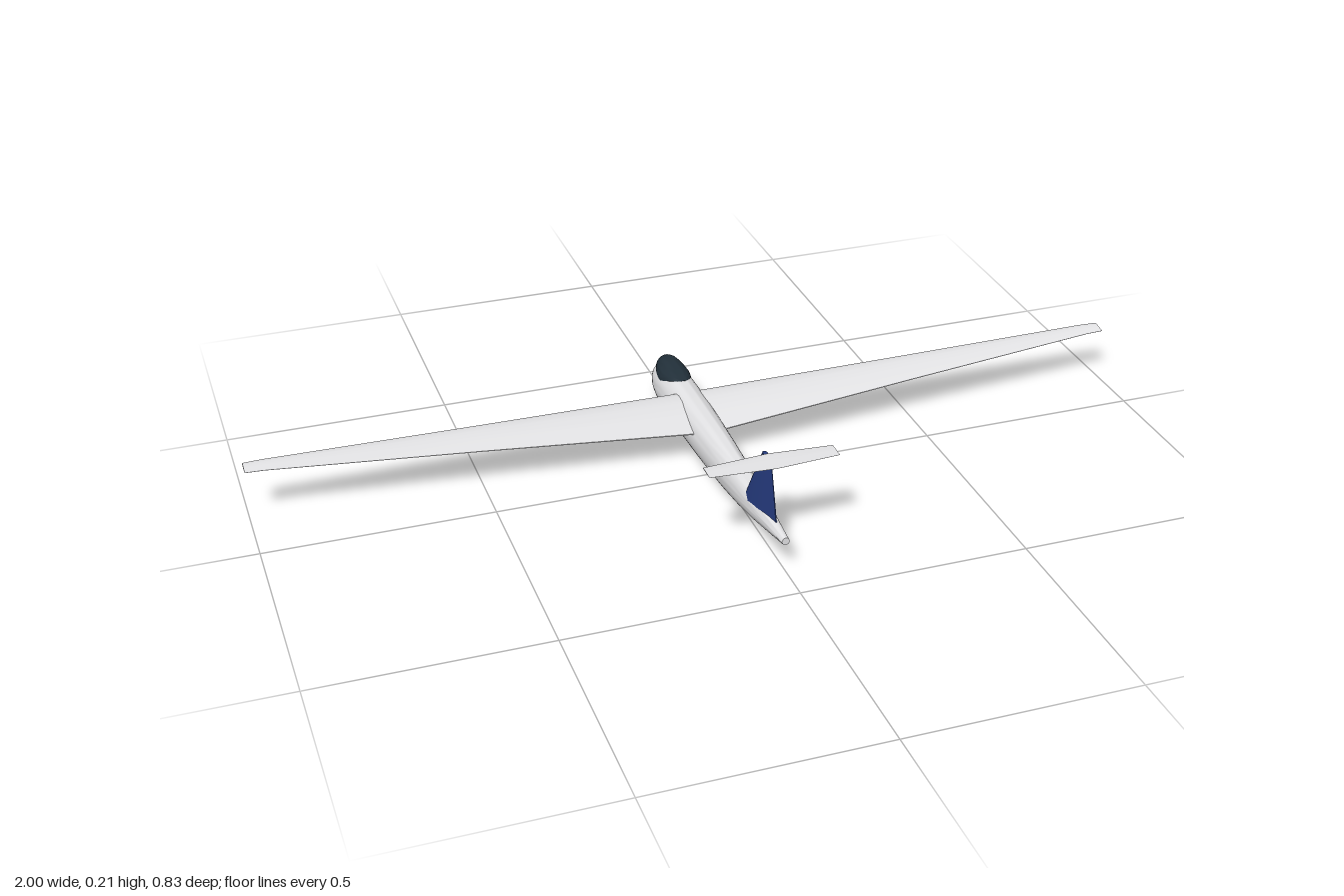
import * as THREE from 'three';
import { toCreasedNormals } from 'three/addons/utils/BufferGeometryUtils.js';

const material = (name, color) => {
  const m = new THREE.MeshStandardMaterial({ color });
  m.name = name;
  return m;
};

// Closed solid skinned over rings of [x, y, z] points, capped at both ends
function loft(rings, crease = 0.6) {
  const n = rings[0].length, last = rings.length - 1;
  const pos = rings.flat(2), index = [];
  for (let i = 0; i < last; i++) {
    for (let j = 0; j < n; j++) {
      const a = i * n + j, b = i * n + (j + 1) % n;
      index.push(a, b, a + n, b, b + n, a + n);
    }
  }
  for (const end of [0, last]) {
    const centre = pos.length / 3;
    pos.push(...[0, 1, 2].map(k => rings[end].reduce((s, p) => s + p[k], 0) / n));
    for (let j = 0; j < n; j++) {
      const a = end * n + j, b = end * n + (j + 1) % n;
      if (end === 0) index.push(centre, b, a);
      else index.push(centre, a, b);
    }
  }
  // Turn the solid outward if its signed volume is negative
  const v = i => new THREE.Vector3().fromArray(pos, i * 3);
  let volume = 0;
  for (let i = 0; i < index.length; i += 3) {
    volume += v(index[i]).dot(v(index[i + 1]).cross(v(index[i + 2])));
  }
  if (volume < 0) index.reverse();
  const g = new THREE.BufferGeometry();
  g.setAttribute('position', new THREE.Float32BufferAttribute(pos, 3));
  g.setIndex(index);
  return toCreasedNormals(g, crease);
}

// Fuselage stations: z, bottom, top, half width
const BODY = [
  [-0.415, 0.047, 0.053, 0.003], [-0.412, 0.038, 0.063, 0.011], [-0.407, 0.031, 0.07, 0.018],
  [-0.4, 0.025, 0.077, 0.023], [-0.39, 0.0185, 0.083, 0.0285], [-0.375, 0.0115, 0.0905, 0.034],
  [-0.355, 0.0055, 0.097, 0.0385], [-0.33, 0.002, 0.102, 0.0415], [-0.3, 0.0005, 0.105, 0.043],
  [-0.24, 0, 0.107, 0.0435], [-0.14, 0, 0.107, 0.0425], [-0.05, 0.0005, 0.107, 0.0395],
  [0.02, 0.0025, 0.1065, 0.0365], [0.1, 0.0075, 0.1035, 0.0325], [0.18, 0.016, 0.098, 0.0275],
  [0.26, 0.029, 0.0915, 0.0215], [0.34, 0.0455, 0.085, 0.0145], [0.415, 0.062, 0.079, 0.008],
];

// Half width of the fuselage at a given z and height
function bodyWidth(z, y) {
  const i = BODY.findIndex(s => s[0] >= z);
  const a = BODY[i - 1], b = BODY[i], t = (z - a[0]) / (b[0] - a[0]);
  const [lo, hi, w] = [1, 2, 3].map(k => a[k] + (b[k] - a[k]) * t);
  const h = (y - (lo + hi) / 2) / ((hi - lo) / 2);
  return w * Math.sqrt(Math.max(0, 1 - h * h));
}

function fuselageGeometry() {
  const sides = 40;
  return loft(BODY.map(([z, lo, hi, w]) => Array.from({ length: sides }, (_, j) => {
    const a = j / sides * Math.PI * 2;
    return [w * Math.cos(a), (lo + hi) / 2 + (hi - lo) / 2 * Math.sin(a), z];
  })), 0.9);
}

// Canopy stations: z, sill height, top
function canopyGeometry() {
  const stations = [
    [-0.395, 0.079, 0.081], [-0.39, 0.08, 0.09], [-0.382, 0.081, 0.102], [-0.372, 0.081, 0.11],
    [-0.36, 0.0815, 0.1145], [-0.345, 0.0815, 0.1162], [-0.325, 0.0815, 0.1157],
    [-0.305, 0.082, 0.1142], [-0.285, 0.0895, 0.1125], [-0.265, 0.0975, 0.1105],
    [-0.25, 0.1035, 0.1085], [-0.24, 0.1065, 0.1075],
  ];
  return loft(stations.map(([z, sill, top]) => {
    const w = bodyWidth(z, sill) + 0.001;
    return Array.from({ length: 21 }, (_, j) => {
      const a = j / 20 * Math.PI;
      return [w * Math.cos(a), sill + (top - sill) * Math.sin(a), z];
    });
  }), 0.9);
}

// Aerofoil outline as [chord fraction, height fraction], upper side then lower
const WING_FOIL = [
  [0, 0], [0.03, 0.025], [0.12, 0.048], [0.3, 0.062], [0.6, 0.045], [1, 0.005],
  [1, -0.01], [0.66, -0.068], [0.32, -0.11], [0.12, -0.075], [0.03, -0.035],
];
const FIN_FOIL = [
  [0, 0], [0.02, 0.55], [0.1, 0.9], [0.25, 1], [0.55, 0.72], [1, 0.06],
  [1, -0.06], [0.55, -0.72], [0.25, -1], [0.1, -0.9], [0.02, -0.55],
];

// Wing stations: x, leading z, trailing z, leading y, trailing y
function wingGeometry(side) {
  const stations = [
    [0, -0.216, -0.055, 0.09, 0.071], [0.04, -0.214, -0.058, 0.091, 0.073],
    [0.5, -0.191, -0.095, 0.107, 0.097], [0.96, -0.17, -0.129, 0.1235, 0.1195],
    [1, -0.165, -0.128, 0.125, 0.1215],
  ];
  return loft(stations.map(([x, z0, z1, y0, y1]) => WING_FOIL.map(([t, h]) =>
    [side * x, y0 + (y1 - y0) * t + h * (z1 - z0), z0 + (z1 - z0) * t])));
}

// Fin stations: y, leading z, trailing z, half thickness
function finGeometry() {
  const stations = [[0.07, 0.203, 0.364, 0.021], [0.09, 0.215, 0.358, 0.019], [0.2095, 0.282, 0.327, 0.005]];
  return loft(stations.map(([y, z0, z1, w]) => FIN_FOIL.map(([t, h]) =>
    [w * h, y, z0 + (z1 - z0) * t])));
}

// Tailplane stations: x, leading z, trailing z, half thickness
function tailplaneGeometry() {
  const stations = [[-0.14, 0.308, 0.35, 0.0012], [0, 0.297, 0.36, 0.002], [0.14, 0.308, 0.35, 0.0012]];
  return loft(stations.map(([x, z0, z1, w]) => FIN_FOIL.map(([t, h]) =>
    [x, 0.2105 + w * h, z0 + (z1 - z0) * t])));
}

export function createModel() {
  const white = material('glossWhite', 0xe4e4e6);
  const blue = material('finBlue', 0x263c80);
  const glass = material('canopyGlass', 0x22303a);

  const model = new THREE.Group();
  model.name = 'glider';
  const add = (name, geometry, mat) => {
    const mesh = new THREE.Mesh(geometry, mat);
    mesh.name = name;
    model.add(mesh);
  };

  add('fuselage', fuselageGeometry(), white);
  add('canopy', canopyGeometry(), glass);
  add('leftWing', wingGeometry(1), white);
  add('rightWing', wingGeometry(-1), white);
  add('tailFin', finGeometry(), blue);
  add('tailplane', tailplaneGeometry(), white);
  return model;
}
